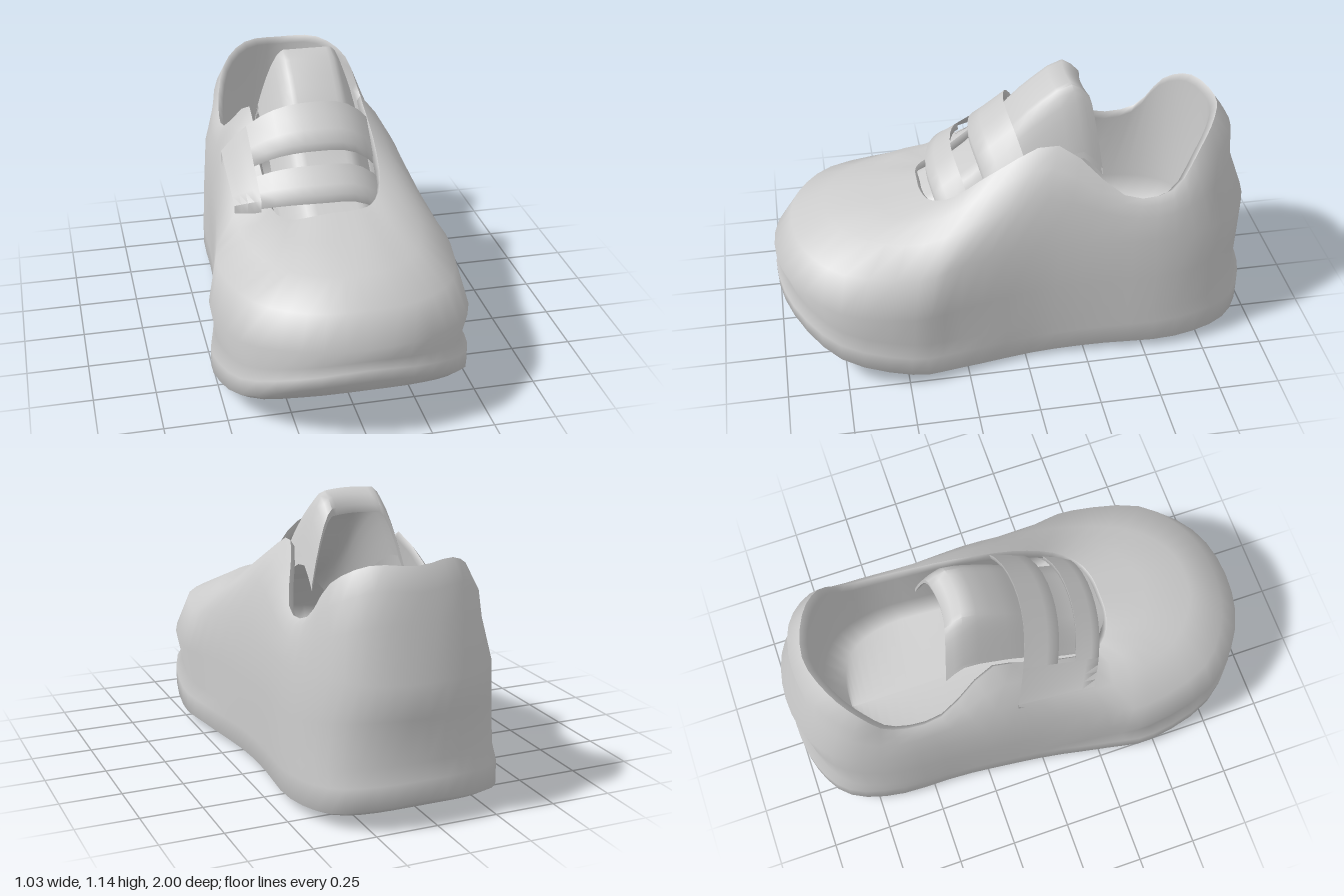
import * as THREE from 'three';
import { toCreasedNormals } from 'three/addons/utils/BufferGeometryUtils.js';

const V = (x, y, z) => new THREE.Vector3(x, y, z);
const { lerp: mix, smoothstep } = THREE.MathUtils;

// Closed smooth outline from one half (heel centre, side, toe centre), mirrored in x;
// the heel end is swung slightly to the left, and the instep under the strap is lowered by dip
function outline(half, dip = 0) {
  const side = half.map(p => V(...p));
  const other = side.slice(1, -1).reverse().map(p => V(-p.x, p.y, p.z));
  const curve = new THREE.CatmullRomCurve3([...side, ...other], true, 'catmullrom', 0.5);
  const n = (side.length + other.length) * 3;
  return Array.from({ length: n }, (_, i) => {
    const p = curve.getPoint(i / n);
    p.y -= dip * smoothstep(-p.x, 0, .15) * smoothstep(p.z, -.2, 0) * (1 - smoothstep(p.z, .25, .45));
    p.x += .03 * smoothstep(-p.z, 0, .6);
    return p;
  });
}

// Skin over a list of closed rings with equal point counts
function loft(rings) {
  const n = rings[0].length, index = [];
  for (let k = 0; k < rings.length - 1; k++) {
    for (let i = 0; i < n; i++) {
      const a = k * n + i, b = k * n + (i + 1) % n;
      index.push(a, a + n, b, b, a + n, b + n);
    }
  }
  const g = new THREE.BufferGeometry().setFromPoints(rings.flat());
  g.setIndex(index);
  g.computeVertexNormals();
  return g;
}

// Curved slab: at(u, v) gives its upper face, u across and v from back to front
function slab(at, u0, u1, v0, v1, nu, nv, thickness) {
  const rings = [];
  for (let i = 0; i <= nu; i++) {
    const top = [], u = mix(u0, u1, i / nu);
    for (let j = 0; j <= nv; j++) top.push(at(u, mix(v0, v1, j / nv)));
    const under = top.map(p => V(p.x, p.y - thickness, p.z)).reverse();
    rings.push([...top, ...under]);
  }
  return toCreasedNormals(loft(rings), 1);
}

export function createModel() {
  const shoe = new THREE.Group();
  shoe.name = 'shoe';
  const material = new THREE.MeshStandardMaterial({ color: 0xcccccc, side: THREE.DoubleSide });
  const add = (name, geometry, parent = shoe) => {
    const mesh = new THREE.Mesh(geometry, material);
    mesh.name = name;
    parent.add(mesh);
  };

  // Outlines from the sole up to the collar
  const soleHalf = [
    [0, .11, -1], [.2, .09, -.97], [.35, .06, -.865], [.415, .04, -.64], [.41, .03, -.33], [.425, .02, -.02],
    [.485, .035, .29], [.515, .055, .49], [.45, .125, .77], [.26, .23, .945], [0, .27, 1]];
  const soleTopY = [.19, .18, .16, .14, .12, .11, .12, .14, .2, .28, .32];
  const soleLow = outline(soleHalf);
  const soleTop = outline(soleHalf.map(([x, , z], i) => [x, soleTopY[i], z]));
  const bulge = outline([
    [0, .42, -.978], [.2, .42, -.945], [.335, .4, -.84], [.405, .37, -.63], [.41, .36, -.33], [.425, .35, -.02],
    [.48, .34, .28], [.515, .34, .47], [.45, .36, .76], [.25, .4, .945], [0, .41, 1]]);
  const shoulder = outline([
    [0, .56, -.99], [.2, .56, -.95], [.335, .56, -.83], [.395, .55, -.62], [.4, .55, -.34], [.41, .56, -.04],
    [.45, .54, .26], [.475, .505, .44], [.395, .51, .73], [.21, .52, .88], [0, .53, .92]]);
  const flank = outline([
    [0, .76, -.915], [.18, .76, -.89], [.31, .72, -.79], [.37, .65, -.61], [.37, .66, -.38], [.36, .76, -.1],
    [.37, .7, .14], [.36, .6, .4], [.28, .585, .62], [.14, .595, .75], [0, .6, .78]], .04);
  const collar = outline([
    [0, .88, -.915], [.18, .89, -.875], [.31, .82, -.76], [.355, .71, -.61], [.355, .71, -.4], [.3, .86, -.13],
    [.3, .785, .11], [.29, .665, .33], [.22, .63, .49], [.11, .635, .56], [0, .635, .58]], .06);
  const rim = outline([
    [0, .965, -.86], [.17, .97, -.81], [.285, .895, -.72], [.33, .745, -.61], [.33, .735, -.41], [.24, .93, -.16],
    [.24, .84, .08], [.225, .72, .26], [.17, .675, .35], [.09, .67, .385], [0, .67, .39]], .07);

  // Outer shell: rockered underside, sole edge, shallow groove above it, then the upper
  const tread = soleLow.map(p => V(p.x * .92, Math.max(0, p.y * .8 - .016), p.z * .95));
  const spine = tread.map(p => V(0, p.y, p.z));
  const groove = soleTop.map((p, i) => {
    const q = p.clone().lerp(bulge[i], .25);
    return V(q.x * (1 - .05 * smoothstep(q.z, 0, .4)), q.y, q.z * .973);
  });
  add('soleAndUpper', loft([spine, tread, soleLow, soleTop, groove, bulge, shoulder, flank, collar, rim]));

  // Lining from the collar down to the insole
  const lip = rim.map(p => V(p.x * .94, p.y - .025, -.2 + (p.z + .2) * .96));
  const wall = shoulder.map(p => V(p.x * .84, .38, p.z * .84));
  const insole = bulge.map(p => V(p.x * .72, .28, p.z * .76));
  add('lining', loft([rim, lip, wall, insole, insole.map(p => V(0, .27, p.z))]));

  // Tongue: broad crown with steep sides, curling back at its top
  const tonguePath = new THREE.CatmullRomCurve3([
    V(0, 1.08, -.29), V(0, 1.14, -.22), V(0, 1.07, -.1), V(0, .98, 0),
    V(0, .84, .12), V(0, .72, .26), V(0, .63, .43)]);
  const tongueAt = (u, v) => {
    const p = tonguePath.getPoint(v), s = Math.abs(u);
    const drop = .02 * s * s + .27 * Math.max(0, (s - .5) / .5) ** 1.6;
    return V(.025 + u * .205, p.y - drop * (1 - .6 * v), p.z - .055 * s * s * (1 - v));
  };
  add('tongue', slab(tongueAt, 1, -1, 0, 1, 20, 12, .03));

  // Strap over the instep: two bands with a slot, joined by a tab lying on the side
  const strapAt = (x, v) => {
    const d = x - .02;
    const drop = d < 0 ? mix(.24, .07, v) * (-d / .39) ** 2.6 : .12 * (d / .23) ** 2.5;
    return V(x, .995 - .265 * v - drop, .02 + .33 * v - .8 * d * d);
  };
  const strap = new THREE.Group();
  strap.name = 'strap';
  shoe.add(strap);
  add('backBand', slab(strapAt, .25, -.27, 0, .45, 10, 3, .035), strap);
  add('frontBand', slab(strapAt, .26, -.27, .68, 1, 10, 3, .035), strap);
  add('strapTab', slab(strapAt, -.27, -.37, 0, 1, 4, 6, .05), strap);

  return shoe;
}
